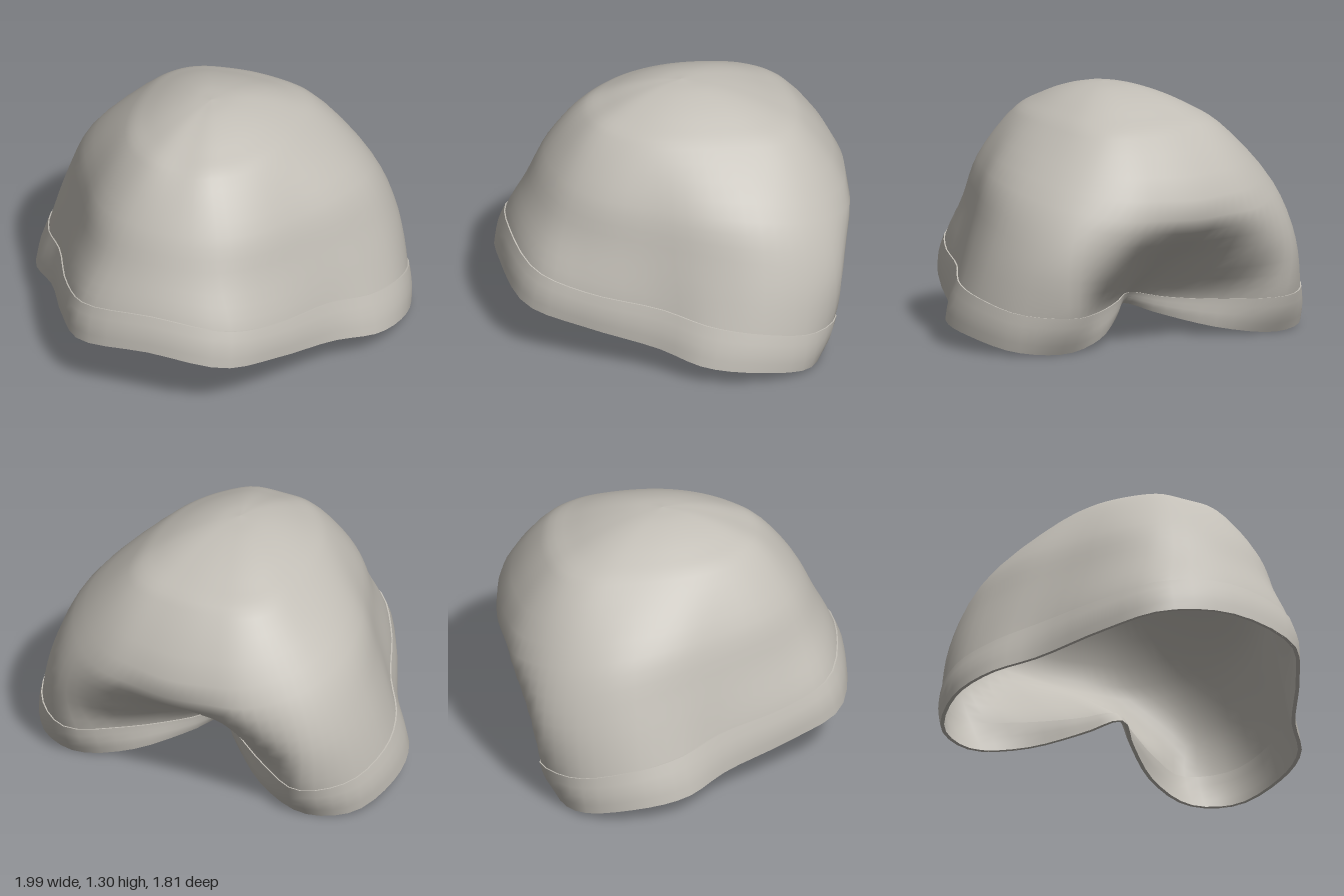
import * as THREE from 'three';
import { mergeGeometries, toCreasedNormals } from 'three/addons/utils/BufferGeometryUtils.js';

const COLS = 72, STEPS = 4;
const APEX = new THREE.Vector3(0, 1.3, -0.05);

// Half outlines [x, y, z], from front centre round the +x side to back centre
const RIM = [[0, 0.32, 0.895], [0.39, 0.27, 0.83], [0.59, 0.22, 0.56], [0.77, 0.16, 0.22], [0.94, 0.115, 0],
  [0.985, 0.08, -0.27], [0.89, 0.022, -0.54], [0.66, 0.003, -0.64], [0.38, 0.04, -0.55], [0.14, 0.11, -0.36], [0, 0.16, -0.23]];
const HEM = [[0, 0.51, 0.85], [0.38, 0.46, 0.78], [0.57, 0.41, 0.55], [0.74, 0.37, 0.2], [0.89, 0.32, -0.04],
  [0.95, 0.28, -0.3], [0.88, 0.22, -0.57], [0.67, 0.2, -0.73], [0.4, 0.19, -0.58], [0.15, 0.2, -0.39], [0, 0.225, -0.29]];
const WAIST = [[0, 0.7, 0.76], [0.3, 0.68, 0.7], [0.48, 0.66, 0.53], [0.66, 0.63, 0.21], [0.8, 0.6, -0.05],
  [0.87, 0.56, -0.32], [0.83, 0.49, -0.59], [0.69, 0.46, -0.76], [0.46, 0.44, -0.78], [0.2, 0.42, -0.65], [0, 0.42, -0.57]];
const CROWN = [[0, 0.9, 0.66], [0.25, 0.9, 0.61], [0.43, 0.88, 0.47], [0.58, 0.87, 0.2], [0.7, 0.86, -0.05],
  [0.75, 0.83, -0.32], [0.71, 0.78, -0.56], [0.6, 0.74, -0.73], [0.42, 0.7, -0.85], [0.2, 0.69, -0.89], [0, 0.68, -0.905]];
const SHOULDER = [[0, 1.13, 0.47], [0.16, 1.14, 0.44], [0.3, 1.13, 0.33], [0.4, 1.13, 0.16], [0.45, 1.13, -0.04],
  [0.46, 1.12, -0.26], [0.44, 1.1, -0.46], [0.37, 1.09, -0.58], [0.27, 1.09, -0.64], [0.13, 1.09, -0.67], [0, 1.09, -0.68]];

// Mirror a half outline and sample it as a closed smooth ring
function ring(half) {
  const mirrored = half.slice(1, -1).reverse().map(([x, y, z]) => [-x, y, z]);
  const pts = [...half, ...mirrored].map(p => new THREE.Vector3(...p));
  const curve = new THREE.CatmullRomCurve3(pts, true);
  return Array.from({ length: COLS }, (_, i) => curve.getPoint(i / COLS));
}

// Skin rows of points; each row closes on itself
function skin(rows) {
  const pos = rows.flatMap(r => r.flatMap(p => [p.x, p.y, p.z]));
  const index = [];
  for (let j = 0; j < rows.length - 1; j++) {
    for (let i = 0; i < COLS; i++) {
      const n = (i + 1) % COLS;
      const a = j * COLS + i, b = j * COLS + n, c = b + COLS, d = a + COLS;
      index.push(a, b, c, a, c, d);
    }
  }
  const g = new THREE.BufferGeometry();
  g.setAttribute('position', new THREE.Float32BufferAttribute(pos, 3));
  g.setIndex(index);
  g.computeVertexNormals();
  return g;
}

// Push a row sideways along its horizontal normals
function offset(row, d) {
  return row.map((p, i) => {
    const t = row[(i + 1) % COLS].clone().sub(row[(i + COLS - 1) % COLS]);
    const n = new THREE.Vector3(-t.z, 0, t.x).normalize();
    return p.clone().addScaledVector(n, d);
  });
}

export function createModel() {
  const group = new THREE.Group();
  group.name = 'softCap';
  const cloth = new THREE.MeshStandardMaterial({ color: 0xc2beb6, side: THREE.DoubleSide });
  cloth.name = 'warm grey cloth';

  // Levels: rim, hem line, waist, crown, shoulder, then a rounded dome to the apex
  const shoulder = ring(SHOULDER);
  const levels = [ring(RIM), ring(HEM), ring(WAIST), ring(CROWN), shoulder];
  for (const s of [0.75, 0.5, 0.25, 0]) {
    levels.push(shoulder.map(p => {
      const q = APEX.clone().lerp(p, s);
      q.y = p.y + (APEX.y - p.y) * (1 - Math.pow(s, 1.9));
      return q;
    }));
  }

  // Smooth each column through the levels
  const count = (levels.length - 1) * STEPS;
  const columns = shoulder.map((_, i) => new THREE.CatmullRomCurve3(levels.map(l => l[i])));
  const rows = Array.from({ length: count + 1 }, (_, j) => columns.map(c => c.getPoint(j / count)));

  const shell = new THREE.Mesh(skin(rows), cloth);
  shell.name = 'capShell';
  group.add(shell);

  // Folded hem: a slightly thicker band around the opening
  const band = rows.slice(0, STEPS + 1);
  const bulge = [0.008, 0.014, 0.016, 0.012, 0.007];
  const outer = band.map((r, j) => offset(r, bulge[j]));
  const inner = band.map(r => offset(r, -0.012)).reverse();
  const strips = [outer, inner, [inner[STEPS], outer[0]], [outer[STEPS], inner[0]]];
  const hem = new THREE.Mesh(toCreasedNormals(mergeGeometries(strips.map(skin)), 0.8), cloth);
  hem.name = 'foldedHem';
  group.add(hem);

  return group;
}
